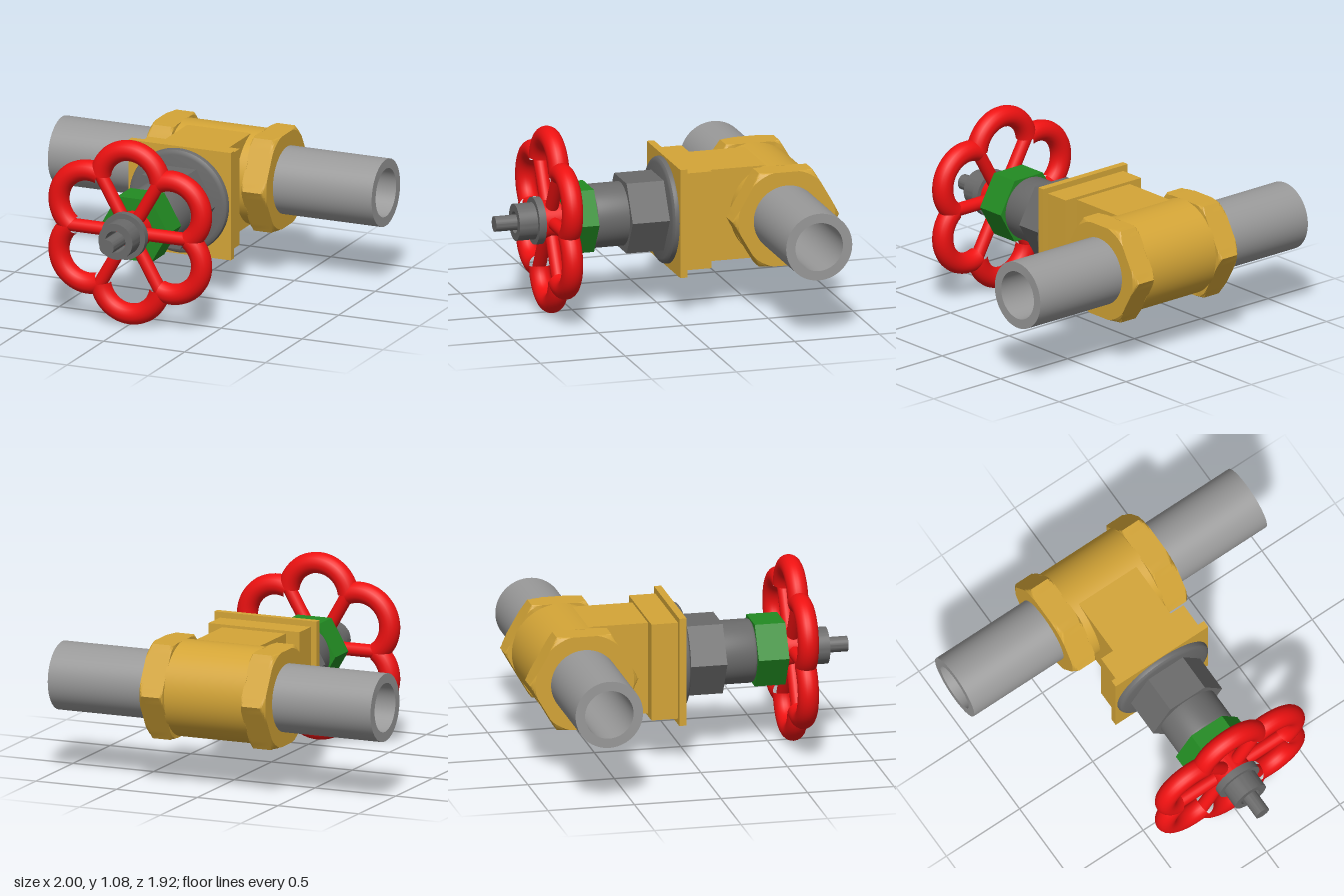
import * as THREE from 'three';
import { toCreasedNormals } from 'three/addons/utils/BufferGeometryUtils.js';

const AXIS_Y = 0.55;
const PIPE_Z = -0.645;

const paint = (color) => new THREE.MeshStandardMaterial({ color });

// Solid of revolution along +y from [radius, height] pairs; hexR trims it to a hexagon
function turned(profile, hexR = 0) {
  const g = new THREE.LatheGeometry(profile.map(([r, y]) => new THREE.Vector2(r, y)), 72);
  if (hexR) {
    const p = g.attributes.position;
    const apothem = hexR * Math.cos(Math.PI / 6);
    for (let i = 0; i < p.count; i++) {
      const x = p.getX(i), z = p.getZ(i), r = Math.hypot(x, z);
      // corners lie on +x and -x
      const a = Math.atan2(z, x) + 2 * Math.PI;
      const limit = apothem / Math.cos((a % (Math.PI / 3)) - Math.PI / 6);
      if (r > limit) {
        p.setX(i, x * limit / r);
        p.setZ(i, z * limit / r);
      }
    }
  }
  return toCreasedNormals(g, 0.5);
}

export function createModel() {
  const model = new THREE.Group();
  const brass = paint(0xd4a537);
  const steel = paint(0x999999);
  const dark = paint(0x6a6a6a);
  const green = paint(0x228b22);
  const red = paint(0xee1111);

  function add(name, geometry, material, x = 0, y = 0, z = 0, parent = model) {
    const mesh = new THREE.Mesh(geometry, material);
    mesh.name = name;
    mesh.position.set(x, y, z);
    parent.add(mesh);
    return mesh;
  }
  // Part turned around the stem axis; profile heights are z positions
  const onStem = (name, profile, material, hexR) =>
    add(name, turned(profile, hexR).rotateX(Math.PI / 2), material, 0, AXIS_Y, 0);
  const rod = (r, z0, z1) => [[0, z0], [r, z0], [r, z1], [0, z1]];
  const ring = (inner, outer, z0, z1) =>
    [[inner, z0], [outer, z0], [outer, z1], [inner, z1], [inner, z0]];

  // Pipes and chamfered union nuts, mirrored left and right
  for (const side of [1, -1]) {
    const half = new THREE.Group();
    half.name = side > 0 ? 'leftPipeEnd' : 'rightPipeEnd';
    half.position.set(0, AXIS_Y, PIPE_Z);
    half.rotation.z = -side * Math.PI / 2;
    model.add(half);
    add('pipe', turned(ring(0.14, 0.195, 0.22, 1)), steel, 0, 0, 0, half);
    const nut = [[0.19, 0.243], [0.297, 0.243], [0.308, 0.249], [0.32, 0.256],
      [0.32, 0.366], [0.308, 0.374], [0.297, 0.382], [0.285, 0.39], [0.19, 0.39]];
    add('unionNut', turned(nut, 0.315).rotateY(Math.PI / 2), brass, 0, 0, 0, half);
  }

  // Hollow body between the nuts
  add('body', turned(ring(0.19, 0.275, -0.25, 0.25)).rotateZ(Math.PI / 2),
    brass, 0, AXIS_Y, PIPE_Z);

  // Square neck, cut away around the bore
  const s = new THREE.Shape();
  s.moveTo(0.23, -0.267);
  s.lineTo(0.645, -0.267);
  s.lineTo(0.645, -0.2);
  s.absarc(0.645, 0, 0.2, -Math.PI / 2, -Math.PI * 1.5, true);
  s.lineTo(0.645, 0.267);
  s.lineTo(0.23, 0.267);
  s.closePath();
  const neck = new THREE.ExtrudeGeometry(s, { depth: 0.394, bevelEnabled: false, curveSegments: 24 });
  add('neck', neck.rotateY(Math.PI / 2), brass, -0.197, AXIS_Y, 0);

  // Stepped square flange
  add('flange', new THREE.BoxGeometry(0.564, 0.566, 0.155), brass, 0, AXIS_Y, -0.1575);
  add('flangePlate', new THREE.BoxGeometry(0.632, 0.632, 0.042), brass, 0, AXIS_Y, -0.061);

  // Gate frame inside the bore
  add('gateBack', new THREE.BoxGeometry(0.2, 0.18, 0.065), dark, 0, AXIS_Y, -0.752);
  for (const side of [1, -1])
    add('gateRail', new THREE.BoxGeometry(0.2, 0.02, 0.18), dark, 0, AXIS_Y + side * 0.1, -0.63);

  // Bonnet stack
  onStem('bonnetDisc', [[0, -0.042], [0.305, -0.042], [0.305, -0.028], [0.3, -0.016],
    [0.29, -0.008], [0.275, -0.004], [0, -0.004]], dark);
  onStem('bonnetHex', rod(0.25, -0.01, 0.215), dark, 0.236);
  onStem('bonnetBarrel', [[0, 0.2], [0.182, 0.2], [0.182, 0.388], [0.178, 0.398],
    [0.168, 0.406], [0, 0.406]], dark);
  onStem('packingNut', rod(0.23, 0.403, 0.58), green, 0.21);

  // Handwheel: six lobes, six spokes and a hub
  const wheel = new THREE.Group();
  wheel.name = 'handwheel';
  wheel.position.set(0, AXIS_Y, 0.635);
  model.add(wheel);
  const start = 0.12; // lobes meet their neighbours at this angle
  for (let i = 0; i < 6; i++) {
    const sector = new THREE.Group();
    sector.name = 'wheelSector';
    sector.rotation.z = i * Math.PI / 3;
    wheel.add(sector);
    const lobe = new THREE.TorusGeometry(0.185, 0.06, 20, 36, Math.PI - 2 * start);
    add('lobe', lobe.rotateZ(start), red, 0, 0.295, 0, sector);
    const spoke = new THREE.CylinderGeometry(0.038, 0.038, 0.32, 20);
    add('spoke', spoke.rotateZ(Math.PI / 2), red, 0.22, 0, 0, sector);
  }
  add('hub', turned(rod(0.11, -0.058, 0.06)).rotateX(Math.PI / 2), red, 0, 0, 0, wheel);

  // Washer, hollow retaining collar and stem
  onStem('washer', ring(0.062, 0.135, 0.69, 0.732), dark);
  onStem('collar', ring(0.062, 0.105, 0.73, 0.84), dark);
  onStem('stem', rod(0.044, 0.4, 0.96), dark);

  return model;
}
